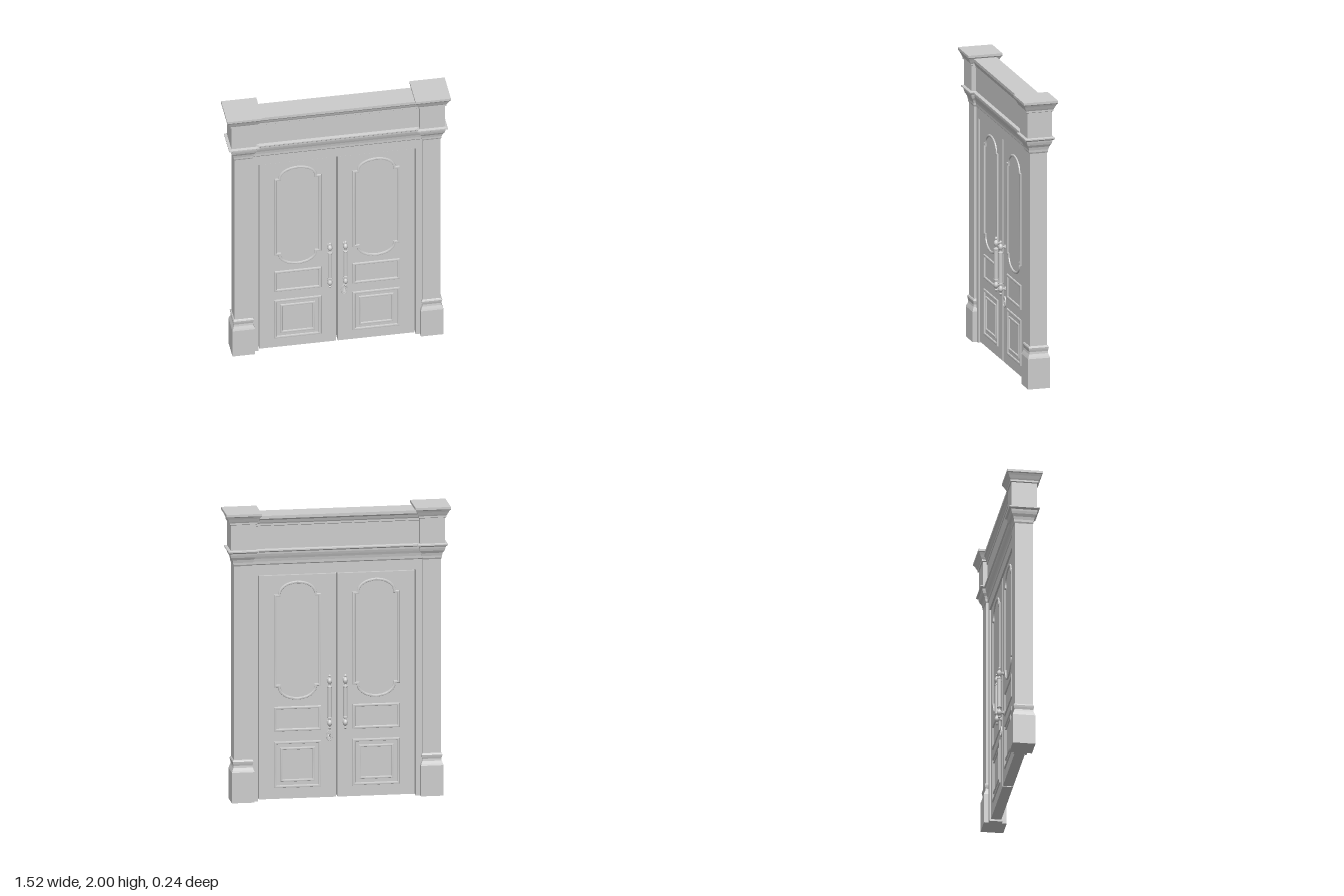
import * as THREE from 'three';
import { toCreasedNormals } from 'three/addons/utils/BufferGeometryUtils.js';

const flat = new THREE.MeshStandardMaterial({ color: 0xcccccc, flatShading: true });
const smooth = new THREE.MeshStandardMaterial({ color: 0xcccccc });
const DOOR = 0.035; // half thickness of a door leaf

function add(parent, name, geometry, material = flat) {
  const mesh = new THREE.Mesh(geometry, material);
  mesh.name = name;
  parent.add(mesh);
  return mesh;
}

const vectors = (pts) => pts.map(([a, b]) => new THREE.Vector2(a, b));

// Extrusion centred on z = 0, reaching +-half, bevelled without growing the outline
function slab(shape, half, bevel = 0) {
  const geo = new THREE.ExtrudeGeometry(shape, {
    depth: 2 * (half - bevel), curveSegments: 20, bevelEnabled: bevel > 0,
    bevelThickness: bevel, bevelSize: bevel, bevelOffset: -bevel, bevelSegments: 2,
  });
  geo.translate(0, 0, bevel - half);
  return toCreasedNormals(geo, 0.5);
}

function rectangle(x0, y0, x1, y1) {
  return new THREE.Shape(vectors([[x0, y0], [x1, y0], [x1, y1], [x0, y1]]));
}

// Tall panel outline: notched corners with a shallow arch at each end
function archedOutline(i) {
  const s = new THREE.Shape();
  const w = 0.16 - i, a = 0.132 - i, h = 0.32, r = 0.09 - i;
  s.moveTo(w, -h + i);
  s.lineTo(w, h - i);
  s.lineTo(a, h - i);
  s.absellipse(0, h, a, r, 0, Math.PI, false);
  s.lineTo(-a, h - i);
  s.lineTo(-w, h - i);
  s.lineTo(-w, -h + i);
  s.lineTo(-a, -h + i);
  s.absellipse(0, -h, a, r, Math.PI, 2 * Math.PI, false);
  s.lineTo(a, -h + i);
  return s;
}

// Raised moulding that shows on both faces of the leaf
function moulding(outline, width, y) {
  const ring = outline(0);
  ring.holes.push(outline(width));
  return slab(ring, DOOR + 0.009, 0.006).translate(0, y, 0);
}

const boxOutline = (w, h) => (i) => rectangle(-w + i, -h + i, w - i, h - i);

function keyhole(y) {
  const p = new THREE.Path();
  p.moveTo(-0.009, y - 0.022);
  p.lineTo(0.009, y - 0.022);
  p.lineTo(0.005, y - 0.004);
  p.absarc(0, y + 0.004, 0.0095, -1, Math.PI + 1, false);
  return p;
}

// Square pier with stepped mouldings: [half width, height]
function makeColumn() {
  const profile = [
    [0, 0], [0.077, 0], [0.077, 0.21], [0.073, 0.222], [0.066, 0.24], [0.064, 0.255],
    [0.068, 0.27], [0.07, 0.283], [0.066, 0.292], [0.061, 0.295], [0.061, 1.63],
    [0.066, 1.64], [0.067, 1.655], [0.072, 1.675], [0.083, 1.693], [0.088, 1.71],
    [0.09, 1.722], [0.103, 1.732], [0.103, 1.74], [0.086, 1.745], [0.086, 1.92],
    [0.094, 1.924], [0.094, 1.936], [0.099, 1.945], [0.108, 1.965], [0.115, 1.978],
    [0.12, 1.984], [0.12, 2], [0, 2],
  ].map(([r, y]) => [r * Math.SQRT2, y]);
  return new THREE.LatheGeometry(vectors(profile), 4, Math.PI / 4);
}

// Beam across the opening: [half depth, height]
function makeLintel() {
  const side = [
    [0.045, 1.558], [0.045, 1.63], [0.05, 1.637], [0.051, 1.655], [0.055, 1.675],
    [0.062, 1.693], [0.067, 1.71], [0.068, 1.722], [0.077, 1.73], [0.077, 1.738],
    [0.055, 1.743], [0.055, 1.9], [0.06, 1.904], [0.06, 1.918], [0.065, 1.926],
    [0.072, 1.945], [0.08, 1.955], [0.08, 1.975],
  ];
  const mirrored = side.map(([z, y]) => [-z, y]).reverse();
  return slab(new THREE.Shape(vectors([...side, ...mirrored])), 0.61).rotateY(Math.PI / 2);
}

// Turned pull bar on two posts, standing off the +z face
function makeHandle() {
  const g = new THREE.Group();
  g.name = 'pullHandle';
  const half = [
    [0.015, 0], [0.015, 0.1], [0.017, 0.102], [0.017, 0.109], [0.009, 0.113], [0.007, 0.122],
    [0.012, 0.13], [0.016, 0.138], [0.017, 0.146], [0.015, 0.156], [0.009, 0.163], [0.005, 0.168],
    [0.005, 0.173], [0.009, 0.177], [0.009, 0.182], [0.004, 0.189], [0, 0.191],
  ];
  const lower = half.slice(1).map(([r, y]) => [r, -y]).reverse();
  const bar = new THREE.LatheGeometry(vectors([...lower, ...half]), 16);
  add(g, 'handleBar', toCreasedNormals(bar, 0.7), smooth).position.set(0, 0.672, 0.067);
  for (const y of [0.527, 0.817]) {
    const post = new THREE.CylinderGeometry(0.007, 0.007, 0.035, 12).rotateX(Math.PI / 2);
    add(g, 'handlePost', post, smooth).position.set(0, y, 0.05);
    const rose = new THREE.CylinderGeometry(0.011, 0.016, 0.008, 16).rotateX(Math.PI / 2);
    add(g, 'handleRosette', toCreasedNormals(rose, 0.7), smooth).position.set(0, y, DOOR + 0.004);
  }
  return g;
}

function makeDoor(side) {
  const g = new THREE.Group();
  g.name = side > 0 ? 'leftDoor' : 'rightDoor';
  const centre = 0.267, lockX = 0.05, lockY = 0.435;

  // Leaf, pierced for the key on the left one only
  const leaf = rectangle(-0.261, 0.01, 0.261, 1.55);
  if (side > 0) {
    const hole = keyhole(lockY).getPoints(12).map((p) => p.clone().setX(p.x + lockX - centre));
    leaf.holes.push(new THREE.Path(hole));
  }
  add(g, 'doorLeaf', slab(leaf, DOOR), smooth).position.x = side * centre;

  // Panel mouldings
  const mouldings = [
    ['archedPanelMoulding', archedOutline, 0.018, 1.1],
    ['middlePanelMoulding', boxOutline(0.16, 0.085), 0.018, 0.56],
    ['lowerPanelMoulding', boxOutline(0.16, 0.16), 0.018, 0.245],
    ['lowerInnerMoulding', boxOutline(0.118, 0.118), 0.016, 0.245],
  ];
  for (const [name, outline, width, y] of mouldings) {
    add(g, name, moulding(outline, width, y), smooth).position.x = side * centre;
  }

  // Pull handles on both faces
  for (const turn of [0, Math.PI]) {
    const handle = makeHandle();
    handle.position.x = side * 0.053;
    handle.rotation.y = turn;
    g.add(handle);
  }

  // Oval key plate with a raised rim, through the leaf
  if (side > 0) {
    const oval = (rx, ry) => new THREE.Shape().absellipse(0, lockY, rx, ry, 0, Math.PI * 2, false);
    const plate = oval(0.022, 0.037);
    plate.holes.push(keyhole(lockY));
    add(g, 'keyPlate', slab(plate, DOOR + 0.004), smooth).position.x = lockX;
    const rim = oval(0.024, 0.039);
    rim.holes.push(oval(0.017, 0.031));
    add(g, 'keyPlateRim', slab(rim, DOOR + 0.008, 0.002), smooth).position.x = lockX;
  }
  return g;
}

export function createModel() {
  const model = new THREE.Group();
  model.name = 'doubleDoor';
  for (const side of [1, -1]) {
    const label = side > 0 ? 'left' : 'right';
    add(model, label + 'Column', makeColumn()).position.x = side * 0.641;
    const jamb = new THREE.BoxGeometry(0.065, 1.6, 0.09);
    add(model, label + 'Jamb', jamb).position.set(side * 0.5675, 0.8, 0);
    model.add(makeDoor(side));
  }
  add(model, 'lintel', makeLintel());
  return model;
}
